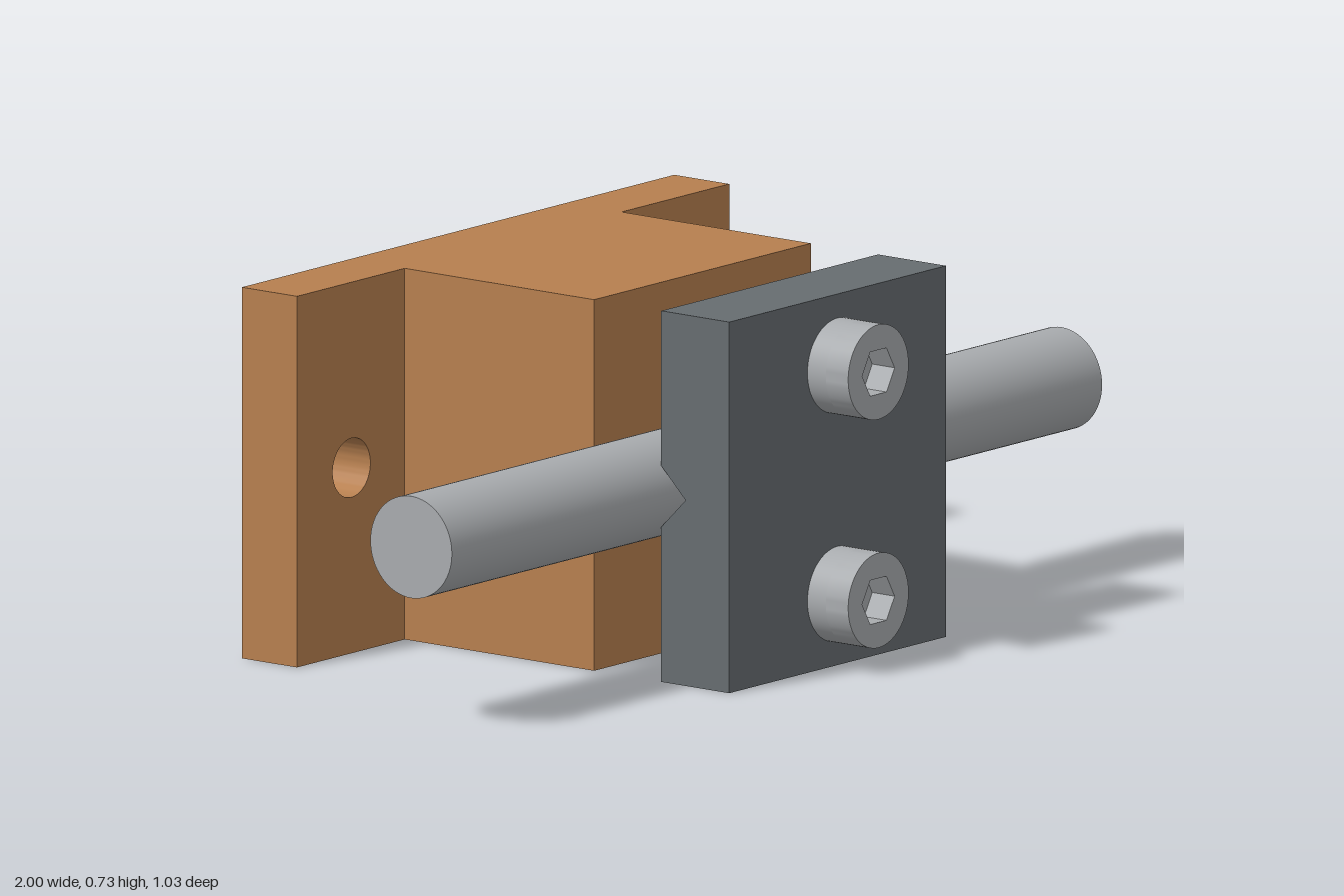
import * as THREE from 'three';
import { toCreasedNormals } from 'three/addons/utils/BufferGeometryUtils.js';

const H = 0.728, MID = H / 2;      // height and rod axis level
const W = 0.667;                   // width of block and clamp plate
const NOTCH = 0.06;                // depth and half height of the V groove
const BOLT = 0.224;                // bolt offset above and below the rod
const ROD_Z = 0.168;

const mat = (name, color) => {
  const m = new THREE.MeshStandardMaterial({ color });
  m.name = name;
  return m;
};

const rect = (x0, y0, x1, y1) => new THREE.Shape([
  new THREE.Vector2(x0, y0), new THREE.Vector2(x1, y0),
  new THREE.Vector2(x1, y1), new THREE.Vector2(x0, y1)]);

const circle = (x, y, r) => new THREE.Path().absarc(x, y, r, 0, Math.PI * 2, true);

const extrude = (shape, depth) => new THREE.ExtrudeGeometry(shape,
  { depth, bevelEnabled: false, curveSegments: 32 });

const add = (parent, name, geometry, material, x = 0, y = 0, z = 0) => {
  const mesh = new THREE.Mesh(geometry, material);
  mesh.name = name;
  mesh.position.set(x, y, z);
  parent.add(mesh);
  return mesh;
};

// Half of a grooved face: a drilled slab whose inner edge slants to the groove bottom
function jawGeometry() {
  const shape = rect(-W / 2, NOTCH, W / 2, MID);
  shape.holes.push(circle(0, BOLT, 0.055));
  const g = extrude(shape, NOTCH);
  const p = g.attributes.position;
  for (let i = 0; i < p.count; i++) {
    if (Math.abs(p.getY(i) - NOTCH) < 1e-4 && p.getZ(i) > NOTCH / 2) p.setY(i, 0);
  }
  return toCreasedNormals(g, 0.5);
}

// Both halves of a grooved face; the open side sits at z and depth runs along dir
function addJaws(parent, material, z, dir) {
  for (const turn of [0, Math.PI]) {
    const g = jawGeometry().rotateZ(turn);
    if (dir < 0) g.rotateY(Math.PI);
    add(parent, turn ? 'lowerJaw' : 'upperJaw', g, material, 0, MID, z);
  }
}

function makeBolt(material) {
  const bolt = new THREE.Group();
  const head = new THREE.Shape().absarc(0, 0, 0.093, 0, Math.PI * 2, false);
  const hex = [];
  for (let i = 0; i < 6; i++) {
    const a = -i * Math.PI / 3;
    hex.push(new THREE.Vector2(0.05 * Math.cos(a), 0.05 * Math.sin(a)));
  }
  head.holes.push(new THREE.Path(hex));
  // socket ring, head base and shank
  add(bolt, 'socketHead', toCreasedNormals(extrude(head, 0.055), 0.5), material, 0, 0, 0.462);
  add(bolt, 'headBase', new THREE.CylinderGeometry(0.093, 0.093, 0.045, 64).rotateX(Math.PI / 2),
    material, 0, 0, 0.4395);
  add(bolt, 'shank', new THREE.CylinderGeometry(0.048, 0.048, 0.392, 48).rotateX(Math.PI / 2),
    material, 0, 0, 0.221);
  return bolt;
}

export function createModel() {
  const model = new THREE.Group();
  model.name = 'rodClamp';
  const bronze = mat('bronze', 0xb67f4f);
  const darkSteel = mat('darkSteel', 0x666c70);
  const steel = mat('steel', 0xa8abae);

  // Mounting block: drilled flange, solid body and grooved front
  const block = new THREE.Group();
  block.name = 'mountingBlock';
  const flange = rect(-0.665, 0, 0.665, H);
  for (const s of [-1, 1]) flange.holes.push(circle(s * 0.497, MID, 0.058));
  add(block, 'flange', toCreasedNormals(extrude(flange, 0.135), 0.5), bronze, 0, 0, -0.515);
  add(block, 'body', new THREE.BoxGeometry(W, H, 0.405), bronze, 0, MID, -0.1775);
  addJaws(block, bronze, 0.085, -1);

  // Small web across the bottom of the block groove
  const web = new THREE.Shape([new THREE.Vector2(0, -0.025),
    new THREE.Vector2(0.025, 0), new THREE.Vector2(0, 0.025)]);
  add(block, 'grooveWeb', extrude(web, 0.4).rotateY(Math.PI / 2).rotateY(Math.PI / 2)
    .rotateY(-Math.PI / 2).translate(-0.2, 0, 0), bronze, 0, MID, 0.05);
  model.add(block);

  // Clamp plate: drilled outer layer and grooved back
  const plate = new THREE.Group();
  plate.name = 'clampPlate';
  const outer = rect(-W / 2, 0, W / 2, H);
  for (const s of [-1, 1]) outer.holes.push(circle(0, MID + s * BOLT, 0.055));
  add(plate, 'outerLayer', toCreasedNormals(extrude(outer, 0.107), 0.5), darkSteel, 0, 0, 0.31);
  addJaws(plate, darkSteel, 0.25, 1);
  model.add(plate);

  // Clamped rod
  add(model, 'rod', new THREE.CylinderGeometry(0.1, 0.1, 2, 64).rotateZ(Math.PI / 2),
    steel, 0, MID, ROD_Z);

  // Bolts above and below the rod
  for (const s of [-1, 1]) {
    const bolt = makeBolt(steel);
    bolt.name = s > 0 ? 'upperBolt' : 'lowerBolt';
    bolt.position.y = MID + s * BOLT;
    model.add(bolt);
  }
  return model;
}
